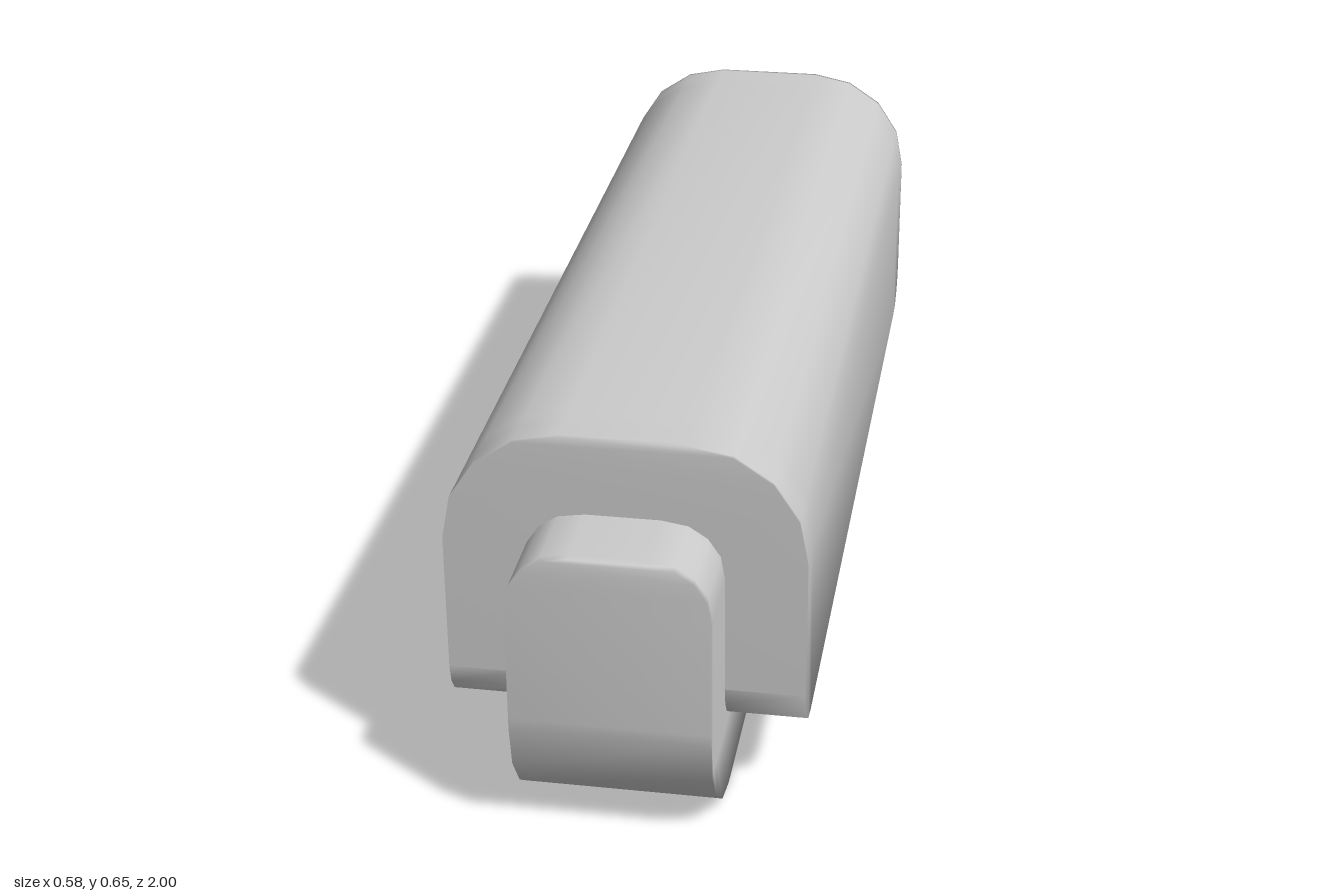
import * as THREE from 'three';

// Lofts a left-right symmetric section along z. `half(floor)` gives the +x half of the
// section from bottom to top; `stations` are [z, floor] pairs from one end to the middle.
function loft(name, half, stations) {
  const rings = [
    ...stations.map(([z, f]) => [-z, f]),
    ...[...stations].reverse(),
  ];
  const positions = [];
  const index = [];
  const h = half(0).length;
  const n = h * 2;
  const quad = (a, b, c, d) => index.push(a, b, c, a, c, d);

  for (const [z, f] of rings) {
    const right = half(f);
    const left = right.map(([x, y]) => [-x, y]).reverse();
    for (const [x, y] of [...right, ...left]) positions.push(x, y, z);
  }
  // skin between neighbouring sections
  for (let s = 0; s < rings.length - 1; s++) {
    for (let i = 0; i < n; i++) {
      const j = (i + 1) % n;
      quad(s * n + i, s * n + j, (s + 1) * n + j, (s + 1) * n + i);
    }
  }
  // end caps in strips from side to side, sharing vertices for soft shading
  const last = (rings.length - 1) * n;
  for (let i = 0; i < h - 1; i++) {
    const l = n - 1 - i;
    quad(last + i, last + i + 1, last + l - 1, last + l);
    quad(l, l - 1, i + 1, i);
  }

  const geometry = new THREE.BufferGeometry();
  geometry.setAttribute('position', new THREE.Float32BufferAttribute(positions, 3));
  geometry.setIndex(index);
  geometry.computeVertexNormals();
  const mesh = new THREE.Mesh(geometry, new THREE.MeshStandardMaterial({ color: 0xcccccc }));
  mesh.name = name;
  return mesh;
}

export function createModel() {
  const group = new THREE.Group();
  group.name = 'roundedBlock';

  // wide upper shell: arched over the top, lower corners rounded at both ends
  const shellArch = [[0.291, 0.455], [0.277, 0.53], [0.236, 0.593], [0.173, 0.635], [0.1, 0.65]];
  group.add(loft(
    'upperShell',
    (f) => [[0.161, f], [0.291, f], ...shellArch],
    [[0.86, 0.215], [0.853, 0.183], [0.836, 0.158], [0.81, 0.141], [0.775, 0.136]],
  ));

  // narrow lower core: longer, with a keel that curves up at both ends
  const coreArch = [[0.161, 0.42], [0.154, 0.46], [0.134, 0.49], [0.104, 0.51], [0.06, 0.517]];
  group.add(loft(
    'lowerCore',
    (f) => [[0.161, f], [0.161, Math.max(f + 0.02, 0.136)], ...coreArch],
    [[1, 0.2], [0.985, 0.125], [0.942, 0.063], [0.88, 0.017], [0.81, 0]],
  ));

  return group;
}
